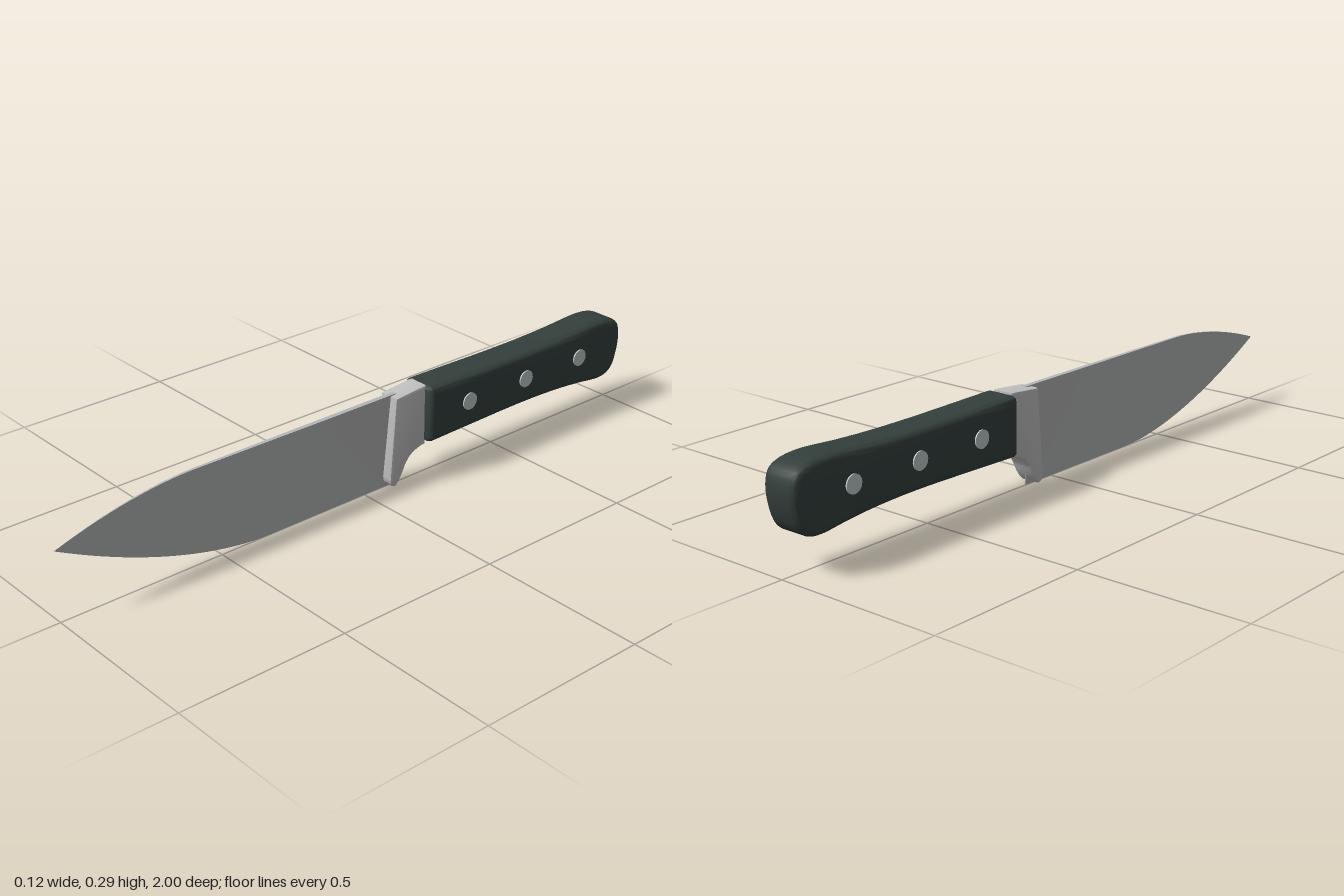
import * as THREE from 'three';
import { toCreasedNormals } from 'three/addons/utils/BufferGeometryUtils.js';

const steel = new THREE.MeshStandardMaterial({ color: 0xb6b7b8 });
steel.name = 'blade steel';
const bolsterSteel = new THREE.MeshStandardMaterial({ color: 0xc2c2c2 });
bolsterSteel.name = 'bolster steel';
const grip = new THREE.MeshStandardMaterial({ color: 0x34403d });
grip.name = 'dark green grip';
const rivetSteel = new THREE.MeshStandardMaterial({ color: 0xbfc8c8 });
rivetSteel.name = 'rivet steel';

function part(name, geometry, material) {
  const mesh = new THREE.Mesh(geometry, material);
  mesh.name = name;
  return mesh;
}

// Side profile drawn in (z, y), extruded along x to a total width with rounded edges.
function profileSolid(shape, width, bevel, segments, crease) {
  const geo = new THREE.ExtrudeGeometry(shape, {
    depth: width - 2 * bevel, curveSegments: 8,
    bevelThickness: bevel, bevelSize: bevel, bevelOffset: -bevel, bevelSegments: segments,
  });
  geo.translate(0, 0, bevel - width / 2);
  geo.rotateY(-Math.PI / 2);
  return toCreasedNormals(geo, crease);
}

// Wedge-shaped blade: a triangular section swept from heel to tip.
function bladeGeometry() {
  const pos = [];
  const tri = (a, b, c) => pos.push(...a, ...b, ...c);
  const quad = (a, b, c, d) => { tri(a, b, c); tri(a, c, d); };
  const section = (z) => {
    const t = Math.max(0, (z - 0.35) / 0.65);
    const s = Math.max(0, (z - 0.58) / 0.42);
    const edge = 0.205 * t ** 1.7;
    const spine = 0.285 - 0.08 * s ** 1.8;
    const half = 0.0075 * Math.min(1, (1 - z) / 0.95 + 0.1) * (1 - s ** 4);
    return [[0, edge, z], [half, spine, z], [-half, spine, z]];
  };
  const stations = [-0.11, 0.1, 0.35];
  for (let i = 1; i <= 20; i++) stations.push(0.35 + 0.65 * i / 20);
  const rings = stations.map(section);
  for (let i = 0; i + 1 < rings.length; i++) {
    const [e0, l0, r0] = rings[i];
    const [e1, l1, r1] = rings[i + 1];
    quad(e0, l0, l1, e1); // left face
    quad(e0, e1, r1, r0); // right face
    quad(l0, r0, r1, l1); // spine
  }
  tri(rings[0][0], rings[0][2], rings[0][1]); // heel
  const geo = new THREE.BufferGeometry();
  geo.setAttribute('position', new THREE.Float32BufferAttribute(pos, 3));
  geo.computeVertexNormals();
  return toCreasedNormals(geo, 0.5);
}

function handleShape() {
  const s = new THREE.Shape();
  s.moveTo(-0.197, 0.13);
  s.lineTo(-0.197, 0.272);
  s.quadraticCurveTo(-0.197, 0.287, -0.215, 0.287);
  s.bezierCurveTo(-0.45, 0.284, -0.65, 0.276, -0.85, 0.293);
  s.bezierCurveTo(-0.93, 0.299, -0.975, 0.288, -0.99, 0.265);
  s.bezierCurveTo(-1.004, 0.24, -1.003, 0.2, -0.985, 0.145);
  s.bezierCurveTo(-0.97, 0.105, -0.94, 0.092, -0.88, 0.101);
  s.bezierCurveTo(-0.74, 0.122, -0.6, 0.122, -0.48, 0.12);
  s.lineTo(-0.215, 0.114);
  s.quadraticCurveTo(-0.197, 0.114, -0.197, 0.13);
  return s;
}

function bolsterShape() {
  const s = new THREE.Shape();
  s.moveTo(-0.091, 0.281);
  s.lineTo(-0.07, 0.035);
  s.quadraticCurveTo(-0.072, 0.008, -0.09, 0.008);
  s.quadraticCurveTo(-0.104, 0.02, -0.118, 0.046);
  s.bezierCurveTo(-0.135, 0.085, -0.15, 0.097, -0.192, 0.106);
  s.lineTo(-0.202, 0.106);
  s.lineTo(-0.202, 0.29);
  s.lineTo(-0.188, 0.29);
  s.closePath();
  return s;
}

export function createModel() {
  const model = new THREE.Group();
  model.name = 'kitchen knife';

  model.add(part('blade', bladeGeometry(), steel));
  model.add(part('bolster', profileSolid(bolsterShape(), 0.066, 0.006, 2, 0.5), bolsterSteel));
  model.add(part('handle', profileSolid(handleShape(), 0.114, 0.022, 5, 0.7), grip));

  // Three rivets, passing through to both sides
  for (const z of [-0.35, -0.58, -0.81]) {
    const geo = new THREE.CylinderGeometry(0.026, 0.026, 0.122, 20);
    geo.rotateZ(Math.PI / 2);
    const rivet = part('rivet', geo, rivetSteel);
    rivet.position.set(0, 0.204, z);
    model.add(rivet);
  }
  return model;
}
